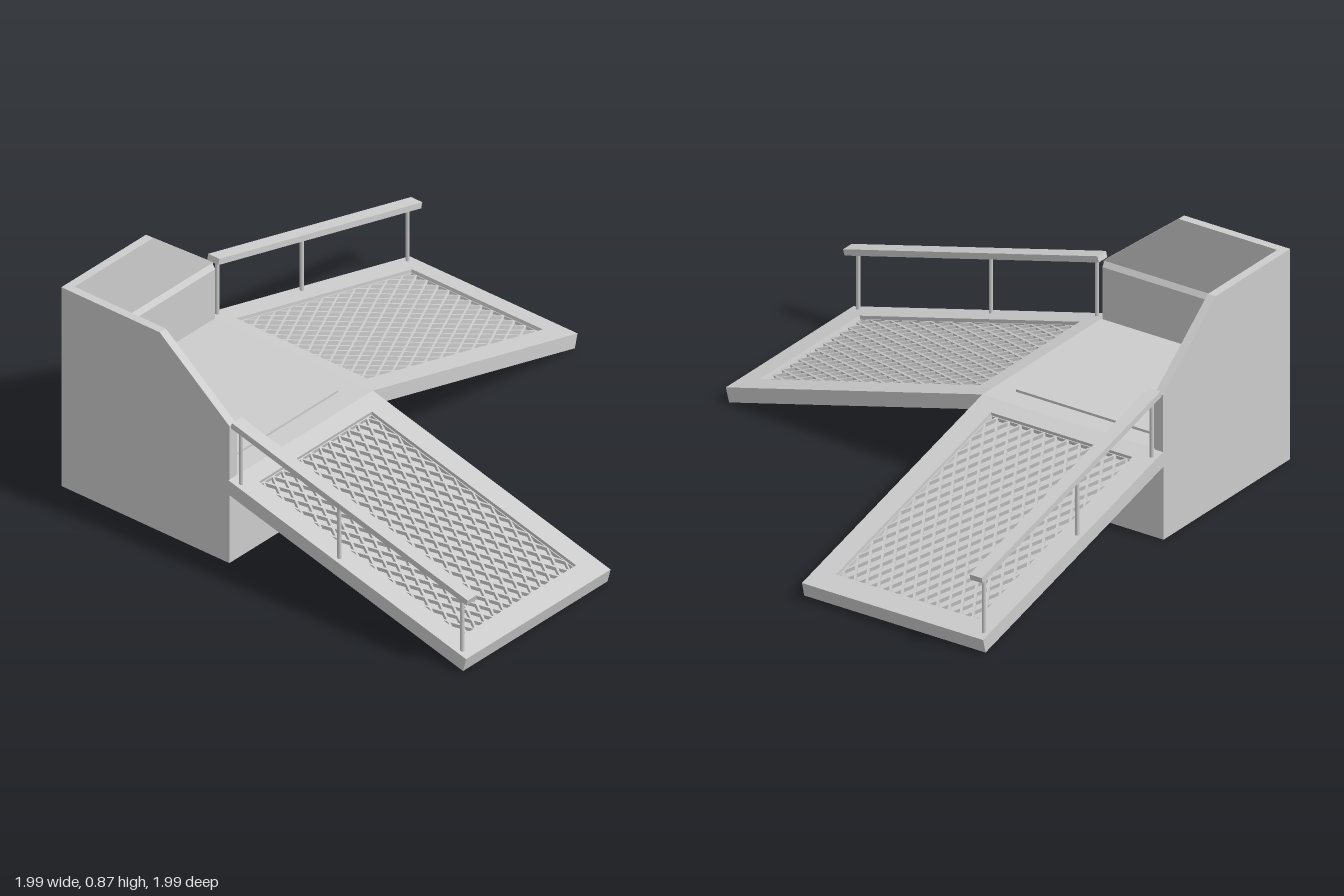
import * as THREE from 'three';

const concrete = new THREE.MeshStandardMaterial({ color: 0xcccccc });
concrete.name = 'light grey';

const SLOPE = 0.257;      // ramp pitch in radians
const RAMP_LEN = 1.2, RAMP_W = 0.82;
const PANEL_START = 0.075, PANEL_END = 1.105, PANEL_W = 0.64;
const RECESS = 0.03, THICK = 0.06, DECK = 0.365;

function add(parent, name, geometry, x = 0, y = 0, z = 0) {
  const mesh = new THREE.Mesh(geometry, concrete);
  mesh.name = name;
  mesh.position.set(x, y, z);
  parent.add(mesh);
  return mesh;
}

const points = (list) => list.map(([x, y]) => new THREE.Vector2(x, y));
const rect = (x0, x1, w) => points([[x0, -w / 2], [x1, -w / 2], [x1, w / 2], [x0, w / 2]]);
const extrude = (shape, depth) => new THREE.ExtrudeGeometry(shape, { depth, bevelEnabled: false });

// Flat plate pierced by staggered diamonds, clipped at its borders
function gratingGeometry() {
  const len = PANEL_END - PANEL_START, cols = 11, rows = 12;
  const a = len / cols / 2, b = PANEL_W / rows / 2, rim = 0.004, open = 0.8;
  const shape = new THREE.Shape(rect(0, len, PANEL_W));
  for (let i = 0; i <= 2 * cols; i++) {
    for (let j = 0; j <= 2 * rows; j++) {
      if ((i + j) % 2) continue;
      const cx = i * a, cy = j * b - PANEL_W / 2;
      const corners = [[1, 0], [0, 1], [-1, 0], [0, -1]].map(([u, v]) => new THREE.Vector2(
        THREE.MathUtils.clamp(cx + u * a * open, rim, len - rim),
        THREE.MathUtils.clamp(cy + v * b * open, rim - PANEL_W / 2, PANEL_W / 2 - rim)));
      const unique = corners.filter((p, k) => corners.findIndex((q) => q.distanceTo(p) < 1e-6) === k);
      if (unique.length > 2) shape.holes.push(new THREE.Path(unique));
    }
  }
  return extrude(shape, 0.016).rotateX(-Math.PI / 2);
}

// Ramp running along local +x from its hinge; side picks the edge with the handrail
function createRamp(name, side) {
  const ramp = new THREE.Group();
  ramp.name = name;
  const deck = new THREE.Group();
  deck.name = 'slopedDeck';
  deck.rotation.z = -SLOPE;
  ramp.add(deck);

  const frame = new THREE.Shape(rect(0, RAMP_LEN, RAMP_W));
  frame.holes.push(new THREE.Path(rect(PANEL_START, PANEL_END, PANEL_W)));
  add(deck, 'rampFrame', extrude(frame, RECESS).rotateX(-Math.PI / 2), 0, -RECESS, 0);
  add(deck, 'rampBase', new THREE.BoxGeometry(RAMP_LEN, THICK - RECESS, RAMP_W),
    RAMP_LEN / 2, -(THICK + RECESS) / 2, 0);
  add(deck, 'diamondGrating', gratingGeometry(), PANEL_START, -RECESS, 0);
  add(deck, 'handrail', new THREE.BoxGeometry(1.19, 0.025, 0.055), 0.545, 0.238, side * 0.38);

  // Upright posts
  for (const x of [0.04, 0.52, 1.12]) {
    add(ramp, 'railPost', new THREE.CylinderGeometry(0.008, 0.008, 0.25, 12),
      x, 0.12 - x * Math.tan(SLOPE), side * 0.385);
  }
  return ramp;
}

// Wall with a sloping shoulder; u runs from the outer corner
function wallGeometry(bottom) {
  const profile = points([[0, bottom], [0.82, bottom], [0.82, 0.6], [0.48, 0.87], [0, 0.87]]);
  return extrude(new THREE.Shape(profile), 0.035);
}

// Chamfered lining along the foot of a wall
function liningGeometry() {
  const profile = points([[0, DECK], [0.015, DECK], [0.015, 0.58], [0, 0.6]]);
  return extrude(new THREE.Shape(profile), 0.78);
}

export function createModel() {
  const model = new THREE.Group();
  model.name = 'cornerRamps';

  // Corner platform
  add(model, 'platform', new THREE.BoxGeometry(0.82, DECK, 0.78), -0.58, DECK / 2, 0.56);
  add(model, 'platformPanel', new THREE.BoxGeometry(0.63, 0.02, 0.63), -0.575, DECK, 0.575);

  // Walls and their inner linings
  add(model, 'frontWall', wallGeometry(0), -0.99, 0, 0.95);
  add(model, 'sideWall', wallGeometry(DECK).rotateY(Math.PI / 2), -0.99, 0, 0.985);
  add(model, 'sideLining', liningGeometry(), -0.955, 0, 0.17);
  add(model, 'frontLining', liningGeometry().rotateY(Math.PI / 2), -0.955, 0, 0.95);

  // Two ramps at right angles
  const sideRamp = createRamp('sideRamp', 1);
  sideRamp.position.set(-0.17, DECK, 0.58);
  const backRamp = createRamp('backRamp', -1);
  backRamp.position.set(-0.58, DECK, 0.17);
  backRamp.rotation.y = Math.PI / 2;
  model.add(sideRamp, backRamp);
  return model;
}
